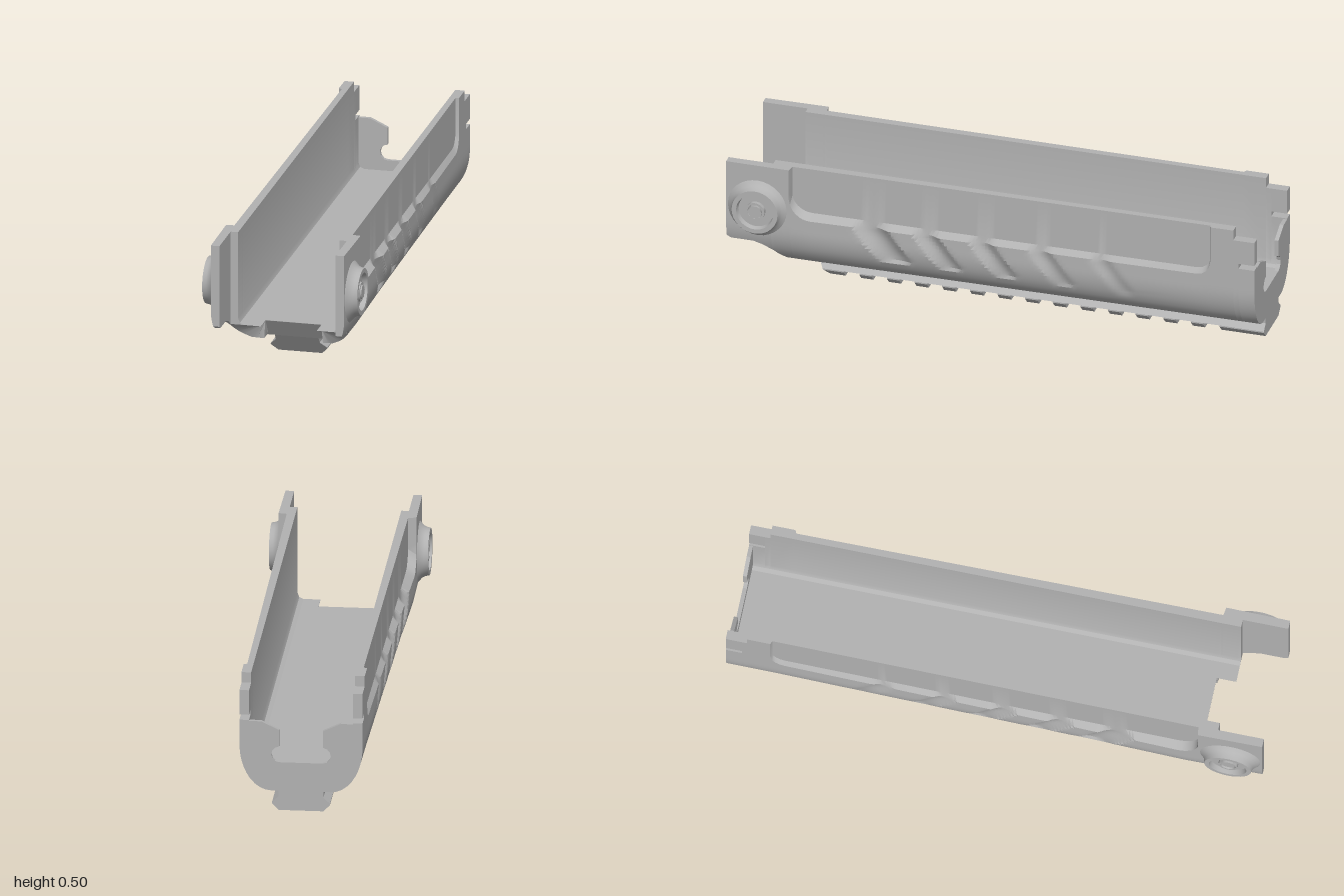
import * as THREE from 'three';
import { toCreasedNormals } from 'three/addons/utils/BufferGeometryUtils.js';

const { lerp, clamp } = THREE.MathUtils;

// Piecewise-linear lookup through [z, value] pairs, z descending
function along(table, z) {
  for (let i = 1; i < table.length; i++) {
    const [z0, v0] = table[i - 1], [z1, v1] = table[i];
    if (z >= z1) return lerp(v0, v1, clamp((z - z0) / (z1 - z0), 0, 1));
  }
  return table[table.length - 1][1];
}

const halfWidth = [[1, 0.25], [0.7, 0.253], [0.3, 0.243], [-0.8, 0.226], [-1, 0.225]];
const underside = [[1, 0.19], [0.985, 0.18], [0.9, 0.18], [0.865, 0.168], [0.83, 0.145], [0.8, 0.112], [0.775, 0.083], [0.757, 0.075]];
const centreLip = [[0.757, 0.144], [0.71, 0.075]];
// Slanted finger scoops: centre z, half width, depth
const scoops = [[0.42, 0.068, 0.026], [0.21, 0.05, 0.02], [0, 0.048, 0.018], [-0.22, 0.045, 0.014], [-0.45, 0.04, 0.009]];

function scoopDepth(y, z) {
  const v = 1 - ((y - 0.265) / 0.105) ** 2;
  if (v <= 0) return 0;
  let depth = 0;
  for (const [zc, hw, d] of scoops) {
    const u = (z - zc - (y - 0.25) * 0.75) / hw;
    depth = Math.max(depth, d * (1 - u * u) * Math.sqrt(v));
  }
  return depth;
}

// Half cross-section of the trough: down the outside, under, up the inside
function section(z, { xmin = 0, ymin = 0, ymax = 0.5 }) {
  const w = along(halfWidth, z), b = along(underside, z);
  const inRecess = z < 0.76 && z > -0.83;
  const wTop = inRecess ? Math.min(w, lerp(0.213, 0.222, (z + 0.83) / 1.59)) : w;
  const round = (d, r) => r * (1 - Math.sqrt(1 - (1 - clamp(d / r, 0, 1)) ** 2));
  const ledge = 0.3 + Math.max(round(0.76 - z, 0.08), round(z + 0.83, 0.05));
  const pts = [[wTop, 0.5], [wTop, ledge + 0.02]];
  const ys = [];
  for (let i = 0; i <= 10; i++) ys.push(lerp(ledge, 0.16, i / 10));
  ys.push(0.14, 0.12, 0.1, 0.086, 0.078, 0.075);
  for (const y0 of ys) {
    const y = Math.max(y0, b);
    const k = clamp((0.25 - y) / 0.175, 0, 1);
    pts.push([0.11 + (w - 0.11) * Math.sqrt(1 - k * k) - scoopDepth(y, z), y]);
  }
  const lip = along(centreLip, z);
  pts.push([0.105, lip], [xmin, lip], [xmin, 0.145], [0.168, 0.145], [0.183, 0.152], [0.19, 0.17], [0.19, 0.5]);
  return pts.map(([x, y]) => [Math.max(x, xmin), clamp(y, Math.max(ymin, b), ymax)]);
}

// Join sections along z and cap both ends; side = -1 mirrors
function sweep(zs, limits, side) {
  const loops = zs.map(z => section(z, limits).map(([x, y]) => new THREE.Vector3(x, y, z)));
  const pos = [], n = loops[0].length;
  const ab = new THREE.Vector3(), ac = new THREE.Vector3();
  const tri = (a, b, c) => {
    if (ab.subVectors(b, a).cross(ac.subVectors(c, a)).lengthSq() < 1e-16) return;
    for (const p of side > 0 ? [a, b, c] : [a, c, b]) pos.push(p.x * side, p.y, p.z);
  };
  for (let i = 0; i + 1 < loops.length; i++) for (let j = 0; j < n; j++) {
    const k = (j + 1) % n, P = loops[i], Q = loops[i + 1];
    tri(P[j], P[k], Q[j]);
    tri(P[k], Q[k], Q[j]);
  }
  for (const [loop, dir] of [[loops[0], 1], [loops[loops.length - 1], -1]]) {
    const flat = loop.map(p => new THREE.Vector2(p.x, p.y));
    for (const [a, b, c] of THREE.ShapeUtils.triangulateShape(flat, [])) {
      const area = ab.subVectors(loop[b], loop[a]).cross(ac.subVectors(loop[c], loop[a])).z;
      area * dir > 0 ? tri(loop[a], loop[b], loop[c]) : tri(loop[a], loop[c], loop[b]);
    }
  }
  const g = new THREE.BufferGeometry();
  g.setAttribute('position', new THREE.Float32BufferAttribute(pos, 3));
  return toCreasedNormals(g, 0.4);
}

// Symmetric outline from its +x half, extruded from z0 to z1
function prism(half, z0, z1) {
  const all = [...half, ...half.map(([x, y]) => [-x, y]).reverse()];
  const shape = new THREE.Shape(all.map(p => new THREE.Vector2(...p)));
  return new THREE.ExtrudeGeometry(shape, { depth: z1 - z0, bevelEnabled: false }).translate(0, 0, z0);
}

export function createModel() {
  const group = new THREE.Group();
  const grey = new THREE.MeshStandardMaterial({ color: 0xb2b2b2 });
  const add = (name, geometry, parent = group) => {
    const m = new THREE.Mesh(geometry, grey);
    m.name = name;
    parent.add(m);
    return m;
  };
  grey.name = 'grey';

  // Long body stations, dense where the scoops and recess corners are
  const bodyZ = [0.757, 0.752, 0.745, 0.735, 0.72, 0.71, 0.7, 0.68, 0.64];
  for (let z = 0.6; z > -0.56; z -= 0.0125) bodyZ.push(z);
  bodyZ.push(-0.7, -0.78, -0.8, -0.815, -0.825, -0.829, -0.835, -0.92);

  for (const side of [1, -1]) {
    const half = new THREE.Group();
    half.name = side > 0 ? 'leftHalf' : 'rightHalf';
    group.add(half);
    const part = (name, zs, limits) => add(name, sweep(zs, limits, side), half);
    part('frontArm', [1, 0.985, 0.9, 0.88, 0.865, 0.845, 0.83], { xmin: 0.218 });
    part('floorWedge', [0.83, 0.815, 0.8, 0.787, 0.775, 0.762, 0.757], { xmin: 0.105 });
    part('trough', bodyZ, {});
    part('rearStep', [-0.92, -0.94], { ymax: 0.46 });
    part('rearTab', [-0.94, -1], { xmin: 0.19, ymin: 0.365, ymax: 0.46 });
    part('rearLower', [-0.94, -1], { ymax: 0.345 });

    // Flared round boss with a recessed face and centre pin
    const profile = [[0.118, -0.004], [0.106, 0.006], [0.096, 0.015], [0.09, 0.026], [0.087, 0.041],
      [0.07, 0.041], [0.066, 0.022], [0.036, 0.022], [0.036, 0.036], [0.028, 0.036], [0.026, 0.03], [0, 0.03]];
    const lathe = new THREE.LatheGeometry(profile.map(p => new THREE.Vector2(...p)), 32);
    const boss = add('pivotBoss', toCreasedNormals(lathe.toNonIndexed(), 0.5), half);
    boss.rotation.z = -side * Math.PI / 2;
    boss.position.set(side * 0.25, 0.327, 0.88);
    if (side > 0) {
      const pin = add('pivotPin', new THREE.CylinderGeometry(0.027, 0.027, 0.02, 6), half);
      pin.rotation.z = Math.PI / 2;
      pin.position.set(0.281, 0.327, 0.88);
    }
  }

  // Thin end plate with a keyhole-like opening
  add('endPlate', prism([[0.192, 0.14], [0.192, 0.341], [0.146, 0.341], [0.08, 0.31], [0.08, 0.246],
    [0.095, 0.241], [0.105, 0.229], [0.109, 0.215], [0.105, 0.2], [0.095, 0.189], [0.08, 0.185]], -1, -0.985));

  // Accessory rail: continuous upper part and separate lower teeth
  const slope = g => {
    const p = g.attributes.position;
    for (let i = 0; i < p.count; i++) if (p.getZ(i) > 0.63) p.setZ(i, 0.655 + 0.73 * p.getY(i));
    g.computeVertexNormals();
    return g;
  };
  add('railTop', slope(prism([[0.106, 0.03], [0.082, 0.053], [0.082, 0.076]], -1, 0.65)));
  const tooth = [[0.082, 0], [0.106, 0.025], [0.106, 0.03]];
  add('railFrontTooth', slope(prism(tooth, 0.596, 0.65)));
  for (let i = 0; i < 13; i++) {
    const z = 0.537 - i * 0.105;
    add('railTooth', prism(tooth, z - 0.047, z));
  }
  add('railEndBlock', prism(tooth, -1, -0.832));
  return group;
}
